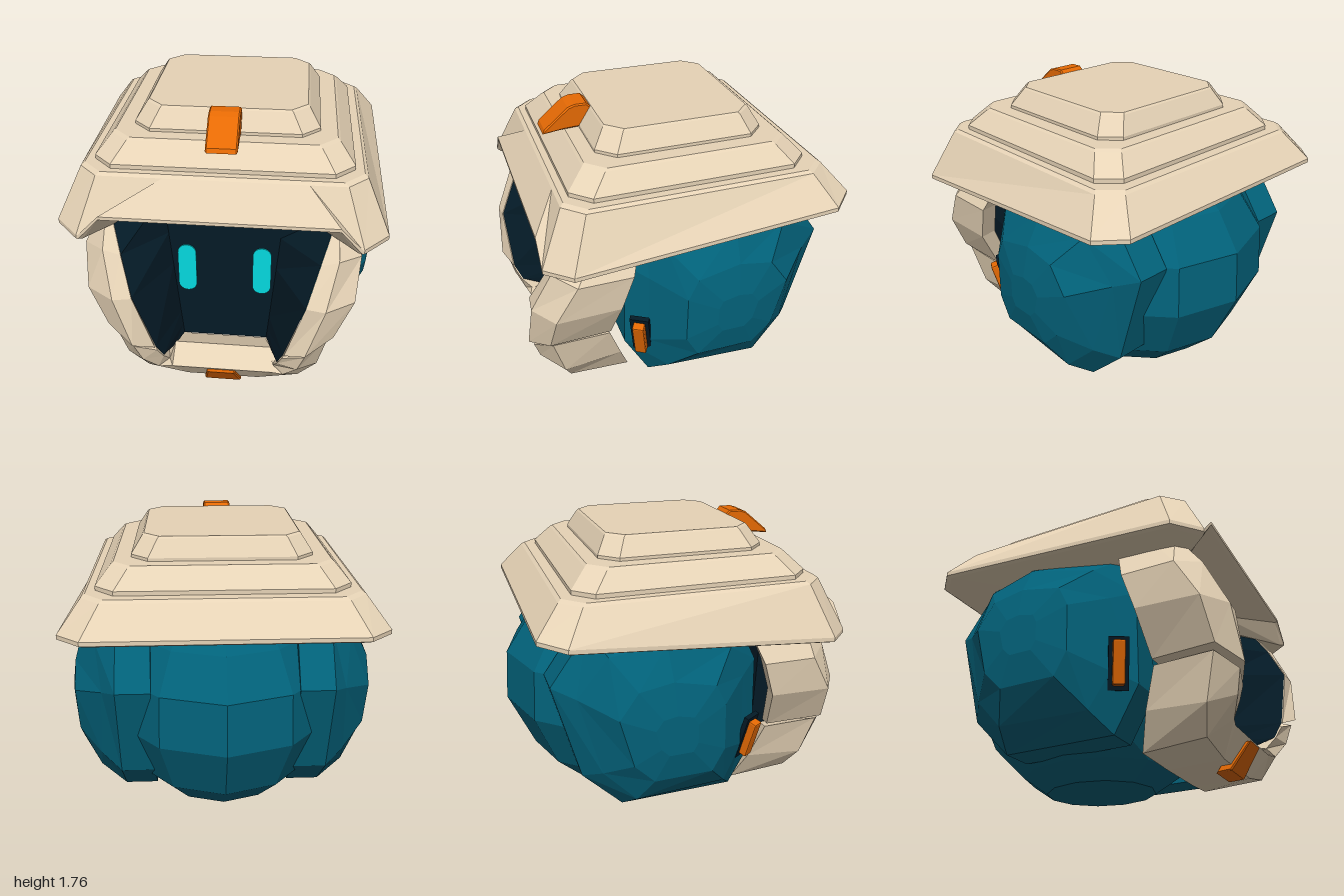
import * as THREE from 'three';
import { RoundedBoxGeometry } from 'three/addons/geometries/RoundedBoxGeometry.js';

const flat = (name, color, extra = {}) => {
  const m = new THREE.MeshStandardMaterial({ color, flatShading: true, ...extra });
  m.name = name;
  return m;
};

// Faceted skin through rings of points; rings run counter-clockwise seen from the far end
function loft(rings, { closed = true, caps = true } = {}) {
  const pos = [];
  const tri = (...pts) => pts.forEach((p) => pos.push(...p));
  const n = rings[0].length;
  for (let i = 0; i < rings.length - 1; i++) {
    for (let j = 0; j < (closed ? n : n - 1); j++) {
      const k = (j + 1) % n;
      const a = rings[i][j], b = rings[i][k], c = rings[i + 1][k], d = rings[i + 1][j];
      tri(a, b, c);
      tri(a, c, d);
    }
  }
  if (caps) {
    const first = rings[0], last = rings[rings.length - 1];
    const mid = (r) => [0, 1, 2].map((q) => r.reduce((s, p) => s + p[q], 0) / n);
    const m0 = mid(first), m1 = mid(last);
    for (let j = 0; j < n; j++) {
      const k = (j + 1) % n;
      tri(m0, first[k], first[j]);
      tri(m1, last[j], last[k]);
    }
  }
  const g = new THREE.BufferGeometry();
  g.setAttribute('position', new THREE.Float32BufferAttribute(pos, 3));
  g.computeVertexNormals();
  return g;
}

const flipX = (ring) => ring.map(([x, y, z]) => [-x, y, z]);
const mirrorRings = (rings) => rings.map(flipX).reverse();

// Chamfered rectangle with four extra points on its front edge
function hatRing(hx, z0, z1, c, y, n1 = hx * 0.4, n2 = hx * 0.6) {
  return [[-hx, z1 - c], [c - hx, z1], [-n2, z1], [-n1, z1], [n1, z1], [n2, z1],
    [hx - c, z1], [hx, z1 - c], [hx, z0 + c], [hx - c, z0], [c - hx, z0], [-hx, z0 + c]]
    .map(([x, z]) => [x, y, z]);
}

// Side profile given as (z, y), extruded across x
function sideExtrude(points, width) {
  const bevel = 0.008;
  const shape = new THREE.Shape(points.map(([z, y]) => new THREE.Vector2(-z, y)));
  const depth = width - 2 * bevel;
  return new THREE.ExtrudeGeometry(shape, {
    depth, bevelThickness: bevel, bevelSize: bevel, bevelOffset: -bevel, bevelSegments: 1,
  }).translate(0, 0, -depth / 2).rotateY(Math.PI / 2);
}

export function createModel() {
  const model = new THREE.Group();
  model.name = 'helmetHead';
  const sand = flat('sand', 0xe6d3b6);
  const teal = flat('teal', 0x02627a);
  const dark = flat('darkNavy', 0x041a26, { side: THREE.DoubleSide });
  const orange = flat('orange', 0xe66a04);
  const cyan = flat('cyan', 0x04d8de);
  const add = (name, geometry, material, parent = model) => {
    const m = new THREE.Mesh(geometry, material);
    m.name = name;
    parent.add(m);
    return m;
  };

  // Head shell: twelve-sided ball, slightly narrowed in x and cut flat behind the face
  const shell = new THREE.LatheGeometry(
    [[0, 0], [0.35, 0], [0.5, 0.1], [0.7, 0.29], [0.86, 0.64], [0.84, 0.95], [0.69, 1.17],
      [0.5, 1.32], [0, 1.4]].map(([r, y]) => new THREE.Vector2(r, y)), 12);
  const sp = shell.attributes.position;
  for (let i = 0; i < sp.count; i++) {
    sp.setXYZ(i, sp.getX(i) * 0.88, sp.getY(i), Math.min(sp.getZ(i) - 0.14, 0.36));
  }
  add('headShell', shell, teal);

  // Domed ear covers: one outline shrinking outwards, flattened towards front and back
  const outline = [[0.3, 1.22], [0.42, 0.97], [0.43, 0.4], [0.28, 0.13], [-0.42, 0.12],
    [-0.66, 0.36], [-0.82, 0.95], [-0.6, 1.26], [-0.2, 1.33]];
  const ear = [[1, 0.42, 0], [1, 0.62, 0], [0.8, 0.79, 0.07], [0.5, 0.89, 0], [0.2, 0.928, 0]]
    .map(([s, x, dent]) => outline.map(([z, y]) =>
      [x - dent * ((z + 0.17) / 0.6) ** 2, 0.7 + (y - 0.7) * s, -0.17 + (z + 0.17) * s]));
  add('leftEarCover', loft(ear), teal);
  add('rightEarCover', loft(mirrorRings(ear)), teal);

  // Cheek guards: inner edge, front ridge, side ridge, back edge, inner back
  const cheek = [
    [[0.38, 0.41, 0.94], [0.5, 0.46, 0.995], [0.66, 0.53, 0.89], [0.64, 0.52, 0.52], [0.54, 0.5, 0.54]],
    [[0.49, 0.78, 0.96], [0.6, 0.77, 0.97], [0.765, 0.77, 0.86], [0.77, 0.78, 0.48], [0.66, 0.78, 0.5]],
    [[0.56, 1.0, 0.85], [0.66, 1.03, 0.85], [0.79, 1.0, 0.73], [0.79, 1.0, 0.41], [0.68, 1.0, 0.43]],
    [[0.645, 1.25, 0.69], [0.655, 1.25, 0.69], [0.66, 1.25, 0.55], [0.66, 1.25, 0.32], [0.62, 1.25, 0.34]],
  ];
  add('leftCheekGuard', loft(cheek), sand);
  add('rightCheekGuard', loft(mirrorRings(cheek)), sand);

  // Jaw guard wrapping under the face, with the chin in the middle
  const jaw = [
    [[0.3, 0.26, 0.71], [0.3, 0.19, 0.855], [0.22, 0.04, 0.75], [0.2, 0.03, 0.4], [0.25, 0.15, 0.5]],
    [[0.315, 0.24, 0.84], [0.38, 0.2, 0.875], [0.47, 0.09, 0.75], [0.46, 0.06, 0.37], [0.4, 0.14, 0.45]],
    [[0.34, 0.31, 0.9], [0.46, 0.3, 0.93], [0.58, 0.24, 0.8], [0.56, 0.26, 0.44], [0.48, 0.27, 0.48]],
    [[0.37, 0.385, 0.935], [0.5, 0.43, 0.965], [0.63, 0.5, 0.87], [0.62, 0.49, 0.52], [0.52, 0.47, 0.53]],
  ];
  add('jawGuard', loft([...mirrorRings(jaw), ...jaw]), sand);

  // Recessed visor: flat back with walls flaring out to the guards
  const edges = [[0.3, 0.24, 0.71], [0.34, 0.31, 0.89], [0.375, 0.41, 0.935], [0.49, 0.78, 0.955],
    [0.56, 1.0, 0.845], [0.645, 1.25, 0.685], [0.645, 1.3, 0.62]];
  const visorRows = edges.map(([x, y, z]) => {
    const b = 0.24 + 0.09 * y;
    return [[-x, y, z], [-b, y, 0.597], [b, y, 0.597], [x, y, z]];
  });
  add('visor', loft(visorRows, { closed: false, caps: false }), dark);

  // Eyes: thin upright pills
  const pill = new THREE.Shape();
  pill.absarc(0, 0.11, 0.055, 0, Math.PI);
  pill.absarc(0, -0.11, 0.055, Math.PI, Math.PI * 2);
  pill.closePath();
  const eye = new THREE.ExtrudeGeometry(pill, { depth: 0.008, bevelEnabled: false, curveSegments: 10 });
  for (const s of [1, -1]) {
    add(s > 0 ? 'leftEye' : 'rightEye', eye, cyan).position.set(s * 0.225, 0.76, 0.599);
  }

  // Hat brim: thin lip sloping up to the back and arching over the face
  const slopedRing = (ring, level, arch) =>
    ring.map(([x, , z], i) => [x, i === 3 || i === 4 ? arch : level - 0.075 * z, z]);
  const brimEdge = hatRing(0.92, -0.9, 0.91, 0.14, 0, 0.65, 0.77);
  const tiers = {
    hatBrim: [slopedRing(hatRing(0.66, -0.6, 0.6, 0.1, 0, 0.36, 0.45), 1.21, 1.25),
      slopedRing(hatRing(0.9, -0.88, 0.89, 0.14, 0, 0.64, 0.75), 1.195, 1.26),
      slopedRing(brimEdge, 1.205, 1.265), slopedRing(brimEdge, 1.23, 1.285),
      hatRing(0.79, -0.76, 0.77, 0.11, 1.46), hatRing(0.77, -0.74, 0.75, 0.11, 1.475)],
    hatMiddleTier: [hatRing(0.72, -0.675, 0.71, 0.11, 1.45), hatRing(0.72, -0.675, 0.71, 0.11, 1.5),
      hatRing(0.635, -0.58, 0.61, 0.1, 1.6), hatRing(0.62, -0.565, 0.595, 0.1, 1.612)],
    hatTopTier: [hatRing(0.525, -0.48, 0.51, 0.1, 1.59), hatRing(0.525, -0.48, 0.51, 0.1, 1.63),
      hatRing(0.46, -0.425, 0.445, 0.09, 1.73), hatRing(0.45, -0.415, 0.435, 0.09, 1.74)],
  };
  for (const [name, rings] of Object.entries(tiers)) add(name, loft(rings), sand);

  // Orange clip over the front of the hat
  add('hatClip', sideExtrude([[0.725, 1.6], [0.715, 1.625], [0.57, 1.745], [0.53, 1.758], [0.46, 1.758],
    [0.43, 1.73], [0.5, 1.62], [0.6, 1.615]], 0.175), orange);

  // Orange chin clip, wider towards the bottom
  const chin = sideExtrude([[0.865, 0.17], [0.8, 0.17], [0.69, 0.05], [0.66, 0.0], [0.75, 0.005]], 0.17);
  const cp = chin.attributes.position;
  for (let i = 0; i < cp.count; i++) cp.setX(i, cp.getX(i) * (1 + (0.17 - cp.getY(i)) * 2.2));
  chin.computeVertexNormals();
  add('chinClip', chin, orange);

  // Tilted side clips on dark backing plates, turned slightly forward
  for (const s of [1, -1]) {
    const clip = new THREE.Group();
    clip.name = s > 0 ? 'leftSideClip' : 'rightSideClip';
    clip.position.set(s * 0.728, 0.495, 0.365);
    clip.rotation.set(0, -s * 0.55, -s * 0.27);
    add('clip', new RoundedBoxGeometry(0.055, 0.25, 0.07, 1, 0.01), orange, clip);
    add('clipBacking', new THREE.BoxGeometry(0.03, 0.3, 0.115), dark, clip).position.x = -s * 0.035;
    model.add(clip);
  }
  return model;
}
